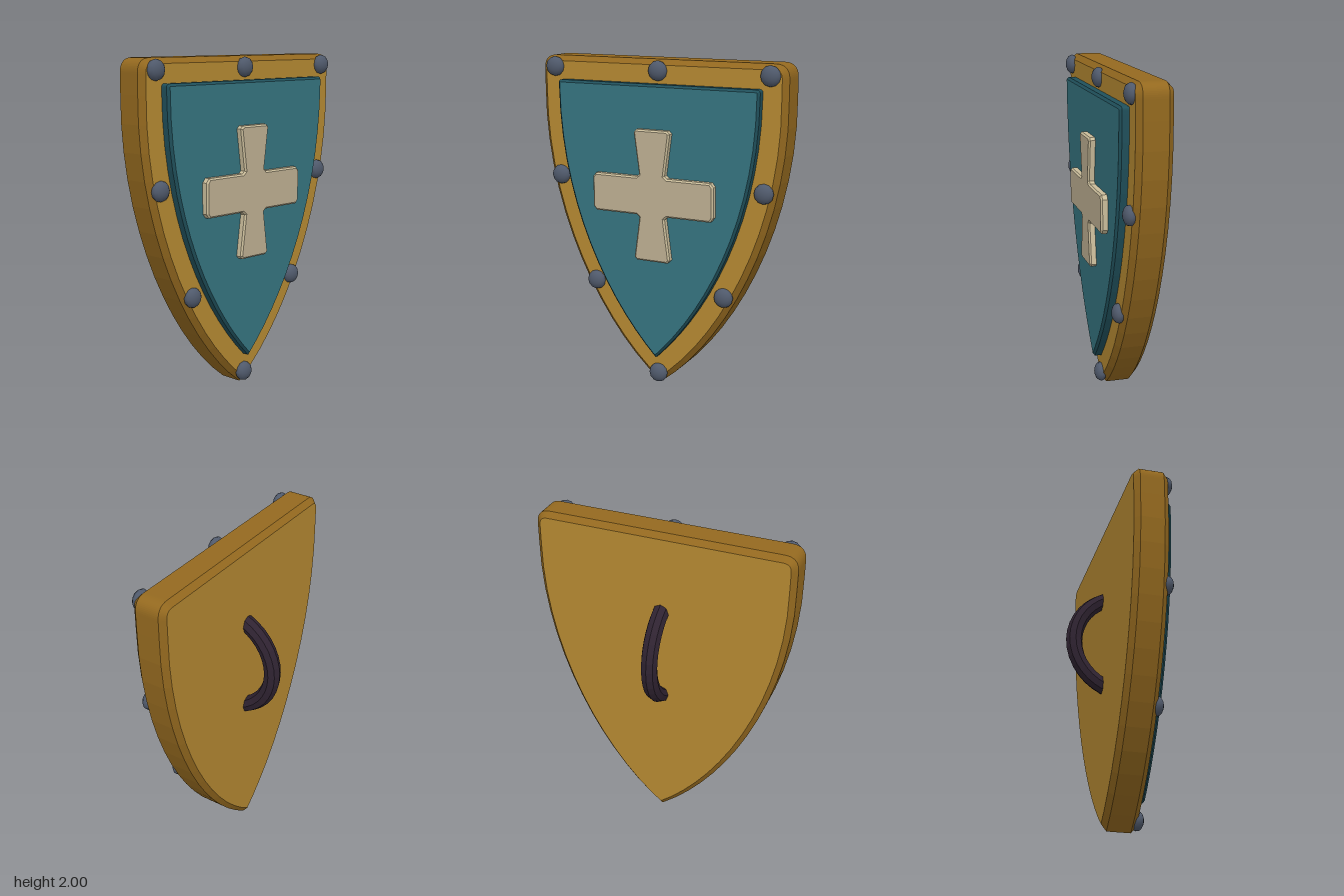
import * as THREE from 'three';

const mat = (name, color) => {
  const m = new THREE.MeshStandardMaterial({ color });
  m.name = name;
  return m;
};

// Heater outline: flat top, small corner cuts, sides curving down to a point
function shieldShape({ halfWidth, top, corner, straightTo, c1, c2, tip }) {
  const s = new THREE.Shape();
  const inX = halfWidth - corner, inY = top - corner;
  s.moveTo(0, tip);
  s.bezierCurveTo(c2[0], c2[1], c1[0], c1[1], halfWidth, straightTo);
  s.lineTo(halfWidth, inY);
  s.quadraticCurveTo(halfWidth, top, inX, top);
  s.lineTo(-inX, top);
  s.quadraticCurveTo(-halfWidth, top, -halfWidth, inY);
  s.lineTo(-halfWidth, straightTo);
  s.bezierCurveTo(-c1[0], c1[1], -c2[0], c2[1], 0, tip);
  return s;
}

// Bevelled slab between two depths; the outline is its full silhouette
function slab(name, shape, zBack, zFront, bevel, materials) {
  const geo = new THREE.ExtrudeGeometry(shape, {
    depth: zFront - zBack - 2 * bevel,
    bevelEnabled: true,
    bevelSize: bevel,
    bevelThickness: bevel,
    bevelOffset: -bevel,
    bevelSegments: 1,
    curveSegments: 14,
  });
  geo.translate(0, 0, zBack + bevel);
  const mesh = new THREE.Mesh(geo, materials);
  mesh.name = name;
  return mesh;
}

export function createModel() {
  const gold = mat('gold face', 0xb58932);
  const goldEdge = mat('dark gold edge', 0x94691f);
  const teal = mat('teal face', 0x357480);
  const tealEdge = mat('dark teal edge', 0x20505b);
  const cream = mat('cream face', 0xbeb092);
  const creamEdge = mat('light cream edge', 0xc9bc9a);
  const steel = mat('blue grey steel', 0x505a6c);
  const leather = mat('dark leather', 0x2f2331);

  const model = new THREE.Group();
  model.name = 'shield';

  // Shield body, whose border shows as the rim
  model.add(slab('body', shieldShape({
    halfWidth: 0.793, top: 2, corner: 0.085, straightTo: 1.8,
    c1: [0.81, 1.05], c2: [0.43, 0.32], tip: 0,
  }), -0.04, 0.17, 0.032, [gold, goldEdge]));

  // Raised front panel
  model.add(slab('frontPanel', shieldShape({
    halfWidth: 0.65, top: 1.86, corner: 0.02, straightTo: 1.82,
    c1: [0.65, 1.1], c2: [0.34, 0.52], tip: 0.185,
  }), 0.14, 0.225, 0.014, [teal, tealEdge]));

  // Cross emblem, mirrored from one quarter
  const quarter = [[0.395, 0.09], [0.375, 0.115], [0.1, 0.115], [0.083, 0.13], [0.117, 0.378], [0.1, 0.395]];
  const flip = (sx, sy) => quarter.map(([x, y]) => new THREE.Vector2(x * sx, 1.205 + y * sy));
  const crossShape = new THREE.Shape([
    ...flip(1, 1), ...flip(-1, 1).reverse(), ...flip(-1, -1), ...flip(1, -1).reverse(),
  ]);
  model.add(slab('crossEmblem', crossShape, 0.205, 0.265, 0.01, [cream, creamEdge]));

  // Domed rivets around the rim
  const rivets = new THREE.Group();
  rivets.name = 'rivets';
  const rivetGeo = new THREE.SphereGeometry(0.06, 12, 8);
  rivetGeo.rotateX(Math.PI / 2);
  rivetGeo.scale(1, 1, 0.65);
  for (const [x, y] of [[0, 1.935], [0.695, 1.935], [0.67, 1.27], [0.43, 0.62], [0, 0.075]]) {
    for (const side of x ? [1, -1] : [1]) {
      const rivet = new THREE.Mesh(rivetGeo, steel);
      rivet.name = 'rivet';
      rivet.position.set(x * side, y, 0.175);
      rivets.add(rivet);
    }
  }
  model.add(rivets);

  // Curved grip on the back, its ends sunk into the body
  const arc = THREE.MathUtils.degToRad(150);
  let gripGeo = new THREE.TorusGeometry(0.326, 0.051, 8, 16, arc);
  gripGeo.rotateZ(-arc / 2);
  gripGeo.rotateY(Math.PI / 2);
  gripGeo = gripGeo.toNonIndexed();
  gripGeo.computeVertexNormals();
  const grip = new THREE.Mesh(gripGeo, leather);
  grip.name = 'backGrip';
  grip.position.set(0, 1.203, 0.112);
  model.add(grip);

  return model;
}
